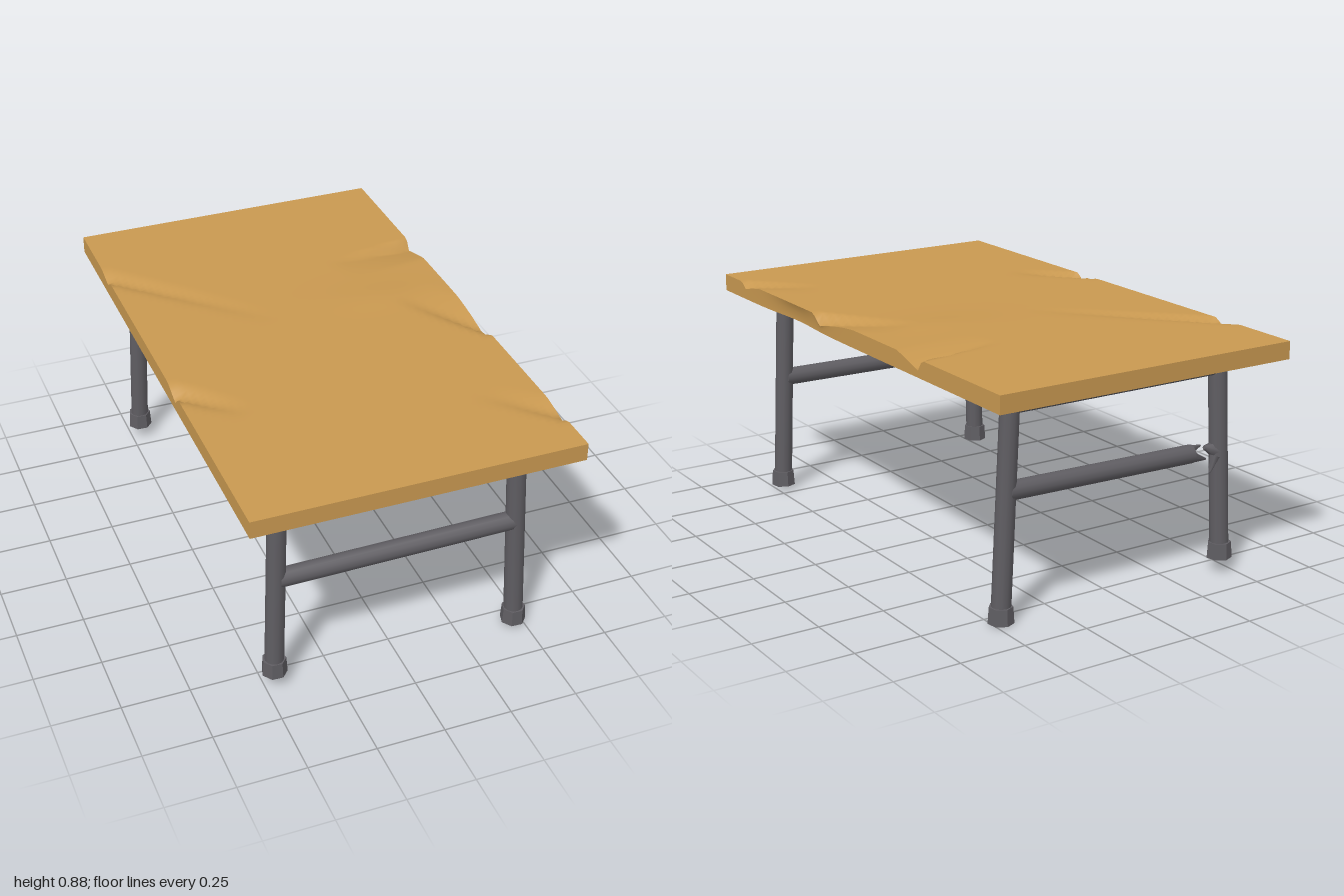
import * as THREE from 'three';

const wood = new THREE.MeshStandardMaterial({ color: 0xc89850 });
wood.name = 'worn wood';
const metal = new THREE.MeshStandardMaterial({ color: 0x5f5d62 });
metal.name = 'dark metal';

const V = (x, y, z) => new THREE.Vector3(x, y, z);

// Round bar running from point a (radius ra) to point b (radius rb)
function bar(name, a, b, ra, rb = ra, sides = 12) {
  const dir = b.clone().sub(a);
  const mesh = new THREE.Mesh(new THREE.CylinderGeometry(rb, ra, dir.length(), sides), metal);
  mesh.position.copy(a).add(b).multiplyScalar(0.5);
  mesh.quaternion.setFromUnitVectors(V(0, 1, 0), dir.normalize());
  mesh.name = name;
  return mesh;
}

// Creases: edge point, inner point, width on each side, depth at the edge
const dents = [
  { e: [0.6, -0.5], i: [0.26, -0.45], w: [0.14, 0.025], d: 0.04 },
  { e: [0.6, 0.2], i: [0.38, -0.12], w: [0.03, 0.14], d: 0.04 },
  { e: [0.6, 0.82], i: [0.38, 0.6], w: [0.02, 0.09], d: 0.025 },
  { e: [-0.6, -0.64], i: [-0.1, -0.13], w: [0.06, 0.025], d: 0.025 },
  { e: [-0.6, 0.22], i: [-0.4, 0.42], w: [0.06, 0.025], d: 0.035 },
];

function dentDepth(x, z) {
  let depth = 0;
  for (const { e, i, w, d } of dents) {
    const lx = i[0] - e[0], lz = i[1] - e[1], len = Math.hypot(lx, lz);
    const px = x - e[0], pz = z - e[1];
    const t = (px * lx + pz * lz) / (len * len);
    const s = (px * lz - pz * lx) / len;
    const across = Math.max(0, 1 - Math.abs(s) / (s > 0 ? w[0] : w[1]));
    const along = t < 0 ? 1 : Math.max(0, 1 - t);
    depth = Math.max(depth, d * along * across);
  }
  return depth;
}

// Plank top with dented upper face and a scuffed side
function makeTop() {
  const geo = new THREE.BoxGeometry(1.2, 0.065, 2, 48, 2, 100);
  const p = geo.attributes.position;
  for (let k = 0; k < p.count; k++) {
    const x = p.getX(k), y = p.getY(k), z = p.getZ(k);
    const rise = 0.007 * Math.exp(-(((x - 0.32) / 0.18) ** 2) - ((z + 0.14) / 0.1) ** 2);
    if (y > -0.02) {
      const share = y > 0.02 ? 1 : 0.4;
      p.setY(k, y + share * (rise - dentDepth(x, z)));
    }
    if (x > 0.59 && y < 0.02) {
      p.setX(k, x - 0.015 * Math.exp(-(((z - 0.4) / 0.18) ** 2)));
    }
  }
  geo.computeVertexNormals();
  const top = new THREE.Mesh(geo, wood);
  top.position.y = 0.8425;
  top.name = 'tableTop';
  return top;
}

export function createModel() {
  const table = new THREE.Group();
  table.name = 'table';
  table.add(makeTop());

  // Splayed, uneven legs with faceted feet
  const legs = [
    ['frontLeftLeg', V(0.433, 0.81, 0.812), V(0.464, 0.015, 0.822)],
    ['frontRightLeg', V(-0.44, 0.81, 0.812), V(-0.46, 0.05, 0.815)],
    ['backLeftLeg', V(0.433, 0.81, -0.806), V(0.464, 0, -0.8)],
    ['backRightLeg', V(-0.44, 0.81, -0.806), V(-0.46, 0.05, -0.832)],
  ];
  for (const [name, top, foot] of legs) {
    const leg = new THREE.Group();
    leg.name = name;
    leg.add(bar('post', foot.clone().setY(foot.y + 0.03), top, 0.035, 0.034));
    const shape = new THREE.CylinderGeometry(0.043, 0.047, 0.06, 7).toNonIndexed();
    shape.computeVertexNormals();
    const cap = new THREE.Mesh(shape, metal);
    cap.position.copy(foot).setY(foot.y + 0.03);
    cap.rotation.y = 0.4;
    cap.name = 'foot';
    leg.add(cap);
    table.add(leg);
  }

  // Frame under the top
  for (const x of [-0.44, 0.433]) {
    table.add(bar('sideRail', V(x, 0.774, -0.806), V(x, 0.774, 0.812), 0.036));
  }
  for (const z of [-0.806, 0.812]) {
    table.add(bar('endRail', V(-0.44, 0.772, z), V(0.433, 0.772, z), 0.037));
  }

  // Lower crossbars; the back one is snapped near the right leg
  table.add(bar('frontCrossbar', V(-0.44, 0.462, 0.814), V(0.445, 0.469, 0.814), 0.035));
  const broken = new THREE.Group();
  broken.name = 'brokenCrossbar';
  broken.add(
    bar('crossbar', V(-0.33, 0.46, -0.812), V(0.445, 0.469, -0.806), 0.034),
    bar('lowerSplinter', V(-0.32, 0.453, -0.812), V(-0.395, 0.43, -0.815), 0.027, 0.004, 6),
    bar('upperSplinter', V(-0.32, 0.475, -0.81), V(-0.37, 0.485, -0.815), 0.018, 0.003, 6),
    bar('stub', V(-0.435, 0.46, -0.818), V(-0.385, 0.475, -0.818), 0.032, 0.008, 6),
    bar('hangingSplinter', V(-0.425, 0.44, -0.83), V(-0.4, 0.385, -0.835), 0.02, 0.005, 6),
  );
  table.add(broken);
  return table;
}
